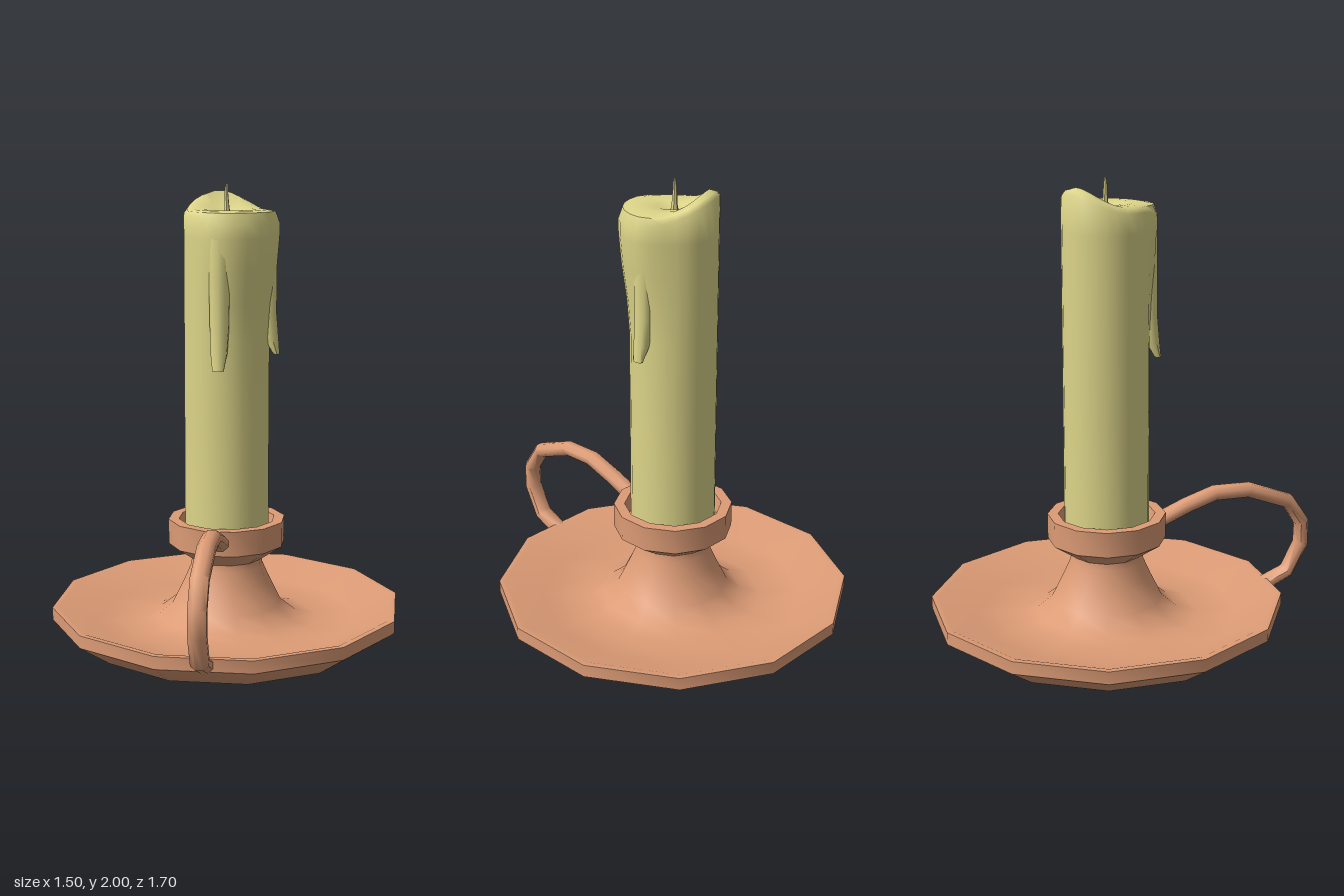
import * as THREE from 'three';
import { toCreasedNormals } from 'three/addons/utils/BufferGeometryUtils.js';

const AXIS_Z = -0.1; // candle and dish axis
const clay = new THREE.MeshStandardMaterial({ color: 0xdd9c76 });
const wax = new THREE.MeshStandardMaterial({ color: 0xddd589 });

// Skin a list of closed rings (counter-clockwise about the direction of travel), with end caps
function loft(rings, crease = 0.8) {
  const n = rings[0].length;
  const points = rings.flat();
  const index = [];
  for (let i = 0; i < rings.length - 1; i++) {
    for (let j = 0; j < n; j++) {
      const a = i * n + j, b = i * n + (j + 1) % n;
      index.push(a, b, a + n, b, b + n, a + n);
    }
  }
  const top = (rings.length - 1) * n;
  for (let j = 1; j < n - 1; j++) {
    index.push(0, j + 1, j, top, top + j, top + j + 1);
  }
  const geometry = new THREE.BufferGeometry().setFromPoints(points);
  geometry.setIndex(index);
  return toCreasedNormals(geometry, crease);
}

function ring(n, at) {
  return Array.from({ length: n }, (_, j) => at(j / n * Math.PI * 2));
}

function part(name, geometry, material) {
  const mesh = new THREE.Mesh(geometry, material);
  mesh.name = name;
  return mesh;
}

// Twelve-sided dish, stem and candle cup in one turned profile
function makeHolder() {
  const flat = Math.cos(Math.PI / 12);
  const profile = [
    [0, 0], [0.61, 0], [0.75, 0.1], [0.75, 0.155], [0.725, 0.155],
    [0.56, 0.085], [0.38, 0.08], [0.3, 0.1], [0.235, 0.155], [0.185, 0.26],
    [0.155, 0.33], [0.15, 0.36], [0.25, 0.43], [0.25, 0.54],
    [0.205, 0.54], [0.19, 0.48], [0, 0.47],
  ].map(([r, y]) => new THREE.Vector2(r / flat, y));
  const geometry = new THREE.LatheGeometry(profile, 12, Math.PI / 12);
  return part('dishAndCup', toCreasedNormals(geometry, 0.7), clay);
}

// Loop handle from the cup over to the dish rim
function makeHandle() {
  const path = [
    [0.12, 0.475], [0.27, 0.54], [0.4, 0.585], [0.56, 0.585], [0.75, 0.515],
    [0.82, 0.41], [0.82, 0.305], [0.755, 0.175], [0.62, 0.115],
  ].map(([z, y]) => new THREE.Vector3(0, y, z));
  const side = new THREE.Vector3(1, 0, 0);
  const rings = path.map((p, i) => {
    const before = path[Math.max(i - 1, 0)];
    const after = path[Math.min(i + 1, path.length - 1)];
    const up = side.clone().cross(after.clone().sub(before).normalize());
    return ring(8, (t) => p.clone()
      .addScaledVector(up, 0.034 * Math.cos(t + Math.PI / 8))
      .addScaledVector(side, 0.041 * Math.sin(t + Math.PI / 8)));
  });
  return part('handle', loft(rings, 0.9), clay);
}

// Candle: a column swollen by melted wax on one side, with a raised back lip
function makeCandle() {
  const R = 0.185;
  const melt = (a) => { // 1 between the two drips, fading to 0 beyond them
    const d = Math.abs(Math.atan2(Math.sin(a - Math.PI / 4), Math.cos(a - Math.PI / 4)));
    return 1 - THREE.MathUtils.smoothstep(d, 0.75, 1.5);
  };
  const lip = (a) => 1.892 + 0.075 * Math.max(0, Math.cos(a - 3.5)) ** 2;
  const radius = (a, y) => R + 0.042 * melt(a) * THREE.MathUtils.smoothstep(y, 1.35, 1.8);
  const point = (a, r, y) => new THREE.Vector3(r * Math.sin(a), y, r * Math.cos(a));

  const rings = [0.45, 1, 1.35, 1.5, 1.65, 1.78]
    .map((y) => ring(24, (a) => point(a, radius(a, y), y)));
  // Shoulder, lip and melted pool: [radius factor, drop below lip, blend to pool, pool height]
  const top = [
    [1, 0.025, 0, 0], [0.92, 0.006, 0, 0], [0.76, 0, 0, 0],
    [0.55, 0, 0.7, 1.893], [0.3, 0, 1, 1.888], [0.1, 0, 1, 1.87], [0, 0, 1, 1.87],
  ];
  for (const [f, drop, blend, pool] of top) {
    rings.push(ring(24, (a) => {
      const sag = f === 1 ? 0.03 * melt(a) : 0;
      const y = THREE.MathUtils.lerp(lip(a) - drop - sag, pool, blend);
      return point(a, radius(a, 1.9) * f, y);
    }));
  }
  return part('candle', loft(rings, 0.9), wax);
}

// Wax drip whose tip stands away from the candle; local +z points outward
function makeDrip(name, angle, lift, scale) {
  const sections = [ // height, distance from axis, half depth, half width
    [1.23, 0.227, 0.014, 0.025], [1.3, 0.204, 0.031, 0.036],
    [1.42, 0.188, 0.037, 0.042], [1.6, 0.184, 0.041, 0.046],
    [1.76, 0.18, 0.044, 0.05], [1.84, 0.17, 0.046, 0.05],
  ];
  const rings = sections.map(([y, out, depth, width]) => ring(10, (t) => new THREE.Vector3(
    width * Math.sin(t), y + lift * (1.84 - y) / 0.61, out * scale + depth * Math.cos(t))));
  const drip = part(name, loft(rings, 0.9), wax);
  drip.rotation.y = angle;
  return drip;
}

// Thin tapered wick
function makeWick() {
  const rings = [[1.85, 0.02, 0], [1.9, 0.012, 0], [1.96, 0.009, -0.003], [2, 0.005, 0]]
    .map(([y, r, x]) => ring(6, (t) => new THREE.Vector3(x + r * Math.sin(t), y, r * Math.cos(t))));
  return part('wick', loft(rings, 0.9), wax);
}

export function createModel() {
  const model = new THREE.Group();
  model.name = 'candleHolder';
  const turned = new THREE.Group();
  turned.name = 'holderAndCandle';
  turned.position.z = AXIS_Z;
  turned.add(
    makeHolder(),
    makeCandle(),
    makeDrip('frontDrip', -0.04, 0, 1),
    makeDrip('leftDrip', Math.PI / 2, 0.045, 0.95),
    makeWick(),
  );
  model.add(turned, makeHandle());
  return model;
}
